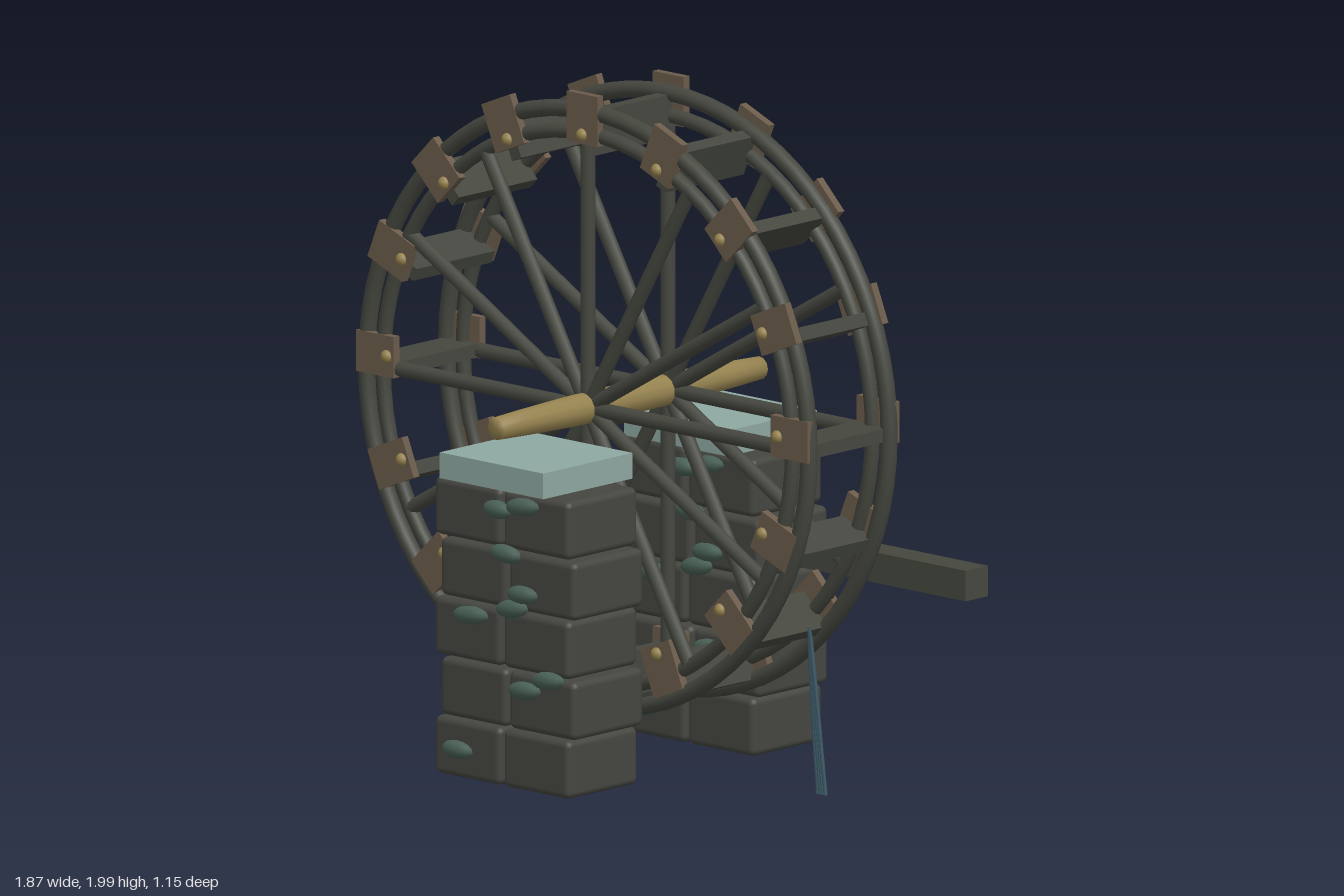
import * as THREE from 'three';
import { RoundedBoxGeometry } from 'three/addons/geometries/RoundedBoxGeometry.js';

const mat = (name, color, side = THREE.FrontSide) => {
  const m = new THREE.MeshStandardMaterial({ color, side });
  m.name = name;
  return m;
};

export function createModel() {
  const wood = mat('dark wood', 0x45473f);
  const stone = mat('stone', 0x454640);
  const copper = mat('brown plate', 0x6b5b4b);
  const brass = mat('brass', 0x95824f);
  const capStone = mat('pale cap stone', 0x8fa8a2);
  const mossGreen = mat('moss', 0x4a6157);
  const waterBlue = mat('water', 0x3a5865, THREE.DoubleSide);

  const model = new THREE.Group();
  model.name = 'waterWheel';
  const add = (parent, name, geo, material, x = 0, y = 0, z = 0) => {
    const m = new THREE.Mesh(geo, material);
    m.name = name;
    m.position.set(x, y, z);
    parent.add(m);
    return m;
  };

  // Wheel, centred on its hub
  const wheel = new THREE.Group();
  wheel.name = 'wheel';
  wheel.position.set(-0.033, 1.066, 0);
  model.add(wheel);

  const outerRim = new THREE.TorusGeometry(0.876, 0.025, 10, 72);
  const innerRim = new THREE.TorusGeometry(0.81, 0.022, 10, 72);
  const spokeGeo = new THREE.CylinderGeometry(0.022, 0.022, 0.81, 10).translate(0, 0.405, 0);
  const plateGeo = new THREE.BoxGeometry(0.122, 0.148, 0.025);
  const rivetGeo = new THREE.SphereGeometry(0.02, 10, 8);
  const paddleGeo = new THREE.BoxGeometry(0.04, 0.13, 0.33);

  for (const s of [1, -1]) {
    add(wheel, 'outerRim', outerRim, wood, 0, 0, s * 0.168);
    add(wheel, 'innerRim', innerRim, wood, 0, 0, s * 0.168);
    for (let i = 0; i < 12; i++) {
      add(wheel, 'spoke', spokeGeo, wood, 0, 0, s * 0.168).rotation.z = (i * Math.PI) / 6;
    }
  }

  // Paddles, with riveted plates set slightly higher than the hub
  for (let i = 0; i < 16; i++) {
    const a = (i * Math.PI) / 8;
    const dx = -Math.sin(a), dy = Math.cos(a);
    add(wheel, 'paddle', paddleGeo, wood, dx * 0.81, dy * 0.81, 0).rotation.z = a;
    for (const s of [1, -1]) {
      add(wheel, 'plate', plateGeo, copper, dx * 0.82, dy * 0.82 + 0.036, s * 0.181).rotation.z = a;
      add(wheel, 'rivet', rivetGeo, brass, dx * 0.773, dy * 0.773 + 0.036, s * 0.19);
    }
  }

  // Tapered axle
  const axleProfile = [[0, -0.553], [0.034, -0.553], [0.039, -0.45], [0.046, -0.25], [0.048, 0],
    [0.046, 0.25], [0.039, 0.45], [0.034, 0.553], [0, 0.553]].map(([r, y]) => new THREE.Vector2(r, y));
  const axleGeo = new THREE.LatheGeometry(axleProfile, 12).rotateX(Math.PI / 2);
  add(wheel, 'axle', axleGeo, brass);

  // Stone pillars: staggered blocks, cap and moss on the front face
  const blockGeo = new RoundedBoxGeometry(0.263, 0.172, 0.296, 2, 0.02);
  const mossGeo = new THREE.SphereGeometry(1, 10, 8);
  // x, y, half width, tilt
  const moss = [
    [-0.045, 0.823, 0.055, 0], [0.055, 0.845, 0.066, 0.12], [-0.013, 0.697, 0.06, -0.05],
    [0.055, 0.586, 0.06, 0.05], [0.013, 0.538, 0.064, 0.15], [-0.15, 0.495, 0.07, 0.08],
    [0.155, 0.347, 0.064, 0.1], [0.063, 0.304, 0.064, 0.08], [-0.203, 0.09, 0.06, 0],
  ];
  for (const s of [1, -1]) {
    const pillar = new THREE.Group();
    pillar.name = s > 0 ? 'frontPillar' : 'backPillar';
    pillar.position.z = s * 0.388;
    model.add(pillar);
    for (let row = 0; row < 5; row++) {
      const shift = row % 2 ? 0.023 : 0;
      for (const x of [-0.167, 0.105]) {
        add(pillar, 'block', blockGeo, stone, x + shift, 0.092 + row * 0.1765, 0);
      }
    }
    add(pillar, 'capStone', new THREE.BoxGeometry(0.41, 0.076, 0.376), capStone, -0.031, 0.931, 0);
    for (const [x, y, w, tilt] of moss) {
      const m = add(pillar, 'moss', mossGeo, mossGreen, x, y, 0.148);
      m.scale.set(w, 0.027, 0.024);
      m.rotation.z = tilt;
    }
  }

  // Beam reaching out of the back pillar
  add(model, 'beam', new THREE.BoxGeometry(0.78, 0.09, 0.094), wood, 0.543, 0.595, -0.441);

  // Falling water: thin strands spreading towards the bottom
  for (let i = 0; i < 4; i++) {
    const d = i / 3;
    const path = new THREE.CatmullRomCurve3([
      new THREE.Vector3(0.753 + d * 0.006, 0.52 - d * 0.03, 0.072),
      new THREE.Vector3(0.768 + d * 0.02, 0.3, 0.076),
      new THREE.Vector3(0.795 + d * 0.03, 0.038, 0.08),
    ]);
    add(model, 'waterStrand', new THREE.TubeGeometry(path, 12, 0.006, 6), waterBlue);
  }

  return model;
}
